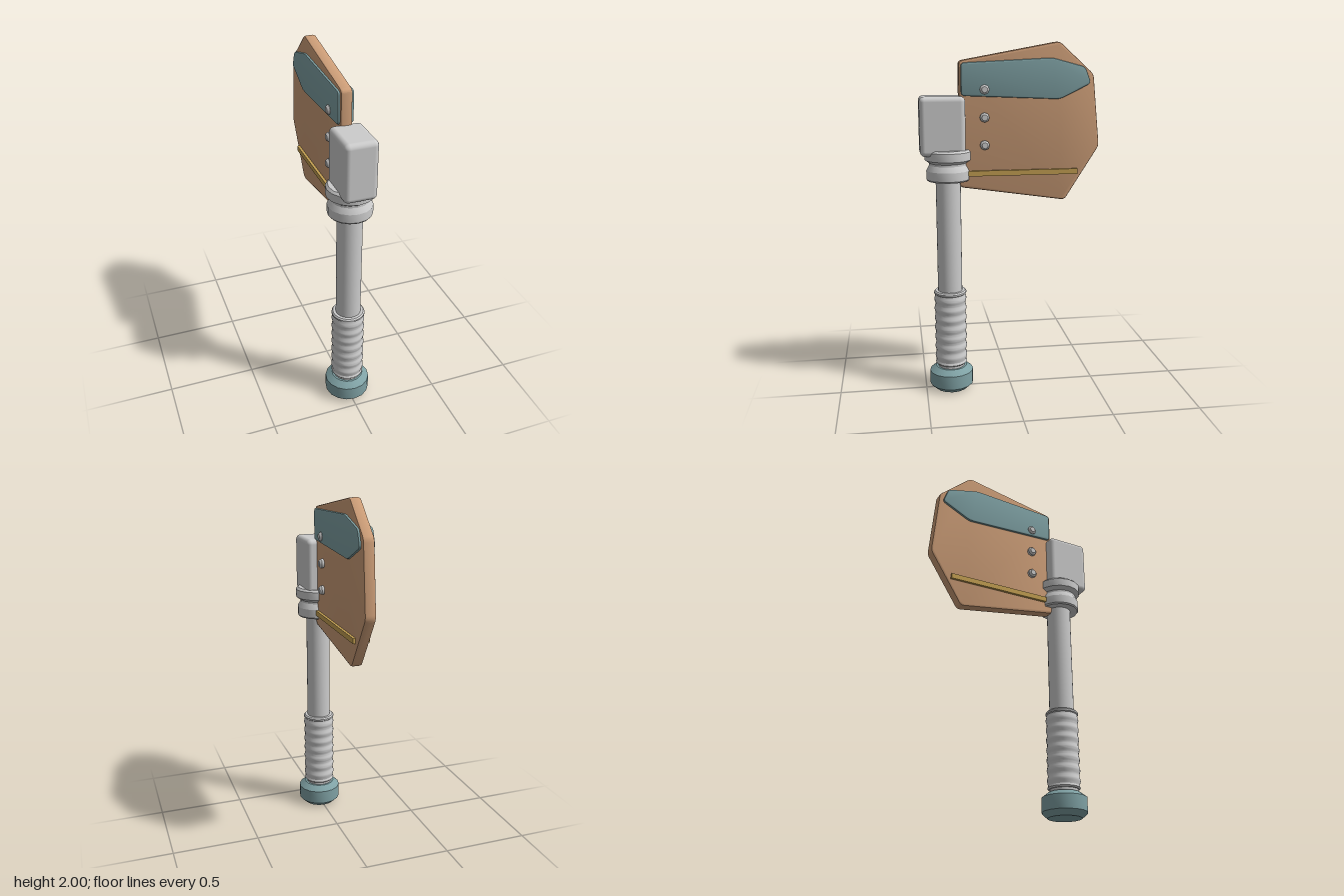
import * as THREE from 'three';
import { toCreasedNormals } from 'three/addons/utils/BufferGeometryUtils.js';
import { RoundedBoxGeometry } from 'three/addons/geometries/RoundedBoxGeometry.js';

const AXIS_Z = 0.35; // handle axis

function material(name, color) {
  const m = new THREE.MeshStandardMaterial({ color });
  m.name = name;
  return m;
}

// Outline of [z, y] corners, each corner rounded off by r
function roundedOutline(corners, r) {
  const pts = corners.map(([z, y]) => new THREE.Vector2(-z, y));
  const shape = new THREE.Shape();
  pts.forEach((p, i) => {
    const prev = pts[(i + pts.length - 1) % pts.length];
    const next = pts[(i + 1) % pts.length];
    const a = p.clone().add(prev.clone().sub(p).setLength(r));
    const b = p.clone().add(next.clone().sub(p).setLength(r));
    if (i === 0) shape.moveTo(a.x, a.y);
    else shape.lineTo(a.x, a.y);
    shape.quadraticCurveTo(p.x, p.y, b.x, b.y);
  });
  shape.closePath();
  return shape;
}

// Bevelled plate in the z-y plane, centred on x = 0
function plate(corners, thickness, bevel, r) {
  const geo = new THREE.ExtrudeGeometry(roundedOutline(corners, r), {
    depth: thickness - 2 * bevel,
    bevelThickness: bevel,
    bevelSize: bevel,
    bevelOffset: -bevel,
    bevelSegments: 2,
    curveSegments: 4,
  });
  geo.translate(0, 0, bevel - thickness / 2);
  geo.rotateY(Math.PI / 2);
  return toCreasedNormals(geo, 0.5);
}

// Turned part from [radius, y] points
function turned(points, sides) {
  const geo = new THREE.LatheGeometry(points.map(([r, y]) => new THREE.Vector2(r, y)), sides);
  return toCreasedNormals(geo, 0.45);
}

export function createModel() {
  const group = new THREE.Group();
  group.name = 'axe';
  const steel = material('light grey metal', 0xcccccc);
  const copper = material('tan blade', 0xcd9e78);
  const teal = material('muted teal', 0x7fa1a4);
  const gold = material('gold inlay', 0xc4a052);

  function add(name, geo, mat, x = 0, y = 0, z = 0) {
    const mesh = new THREE.Mesh(geo, mat);
    mesh.name = name;
    mesh.position.set(x, y, z);
    group.add(mesh);
    return mesh;
  }

  // Handle
  add('pommel', turned([[0, 0], [0.095, 0], [0.127, 0.03], [0.127, 0.11], [0.09, 0.138], [0, 0.138]], 16), teal, 0, 0, AXIS_Z);
  add('shaft', turned([[0, 0.12], [0.07, 0.12], [0.07, 1.4], [0, 1.4]], 24), steel, 0, 0, AXIS_Z);

  const grip = [[0, 0.155], [0.085, 0.155], [0.092, 0.163]];
  for (let i = 0; i <= 56; i++) {
    grip.push([0.09 - 0.003 * Math.cos((i / 56) * Math.PI * 14), 0.175 + (i / 56) * 0.405]);
  }
  grip.push([0.093, 0.585], [0.093, 0.594], [0.086, 0.602], [0, 0.602]);
  add('grip', turned(grip, 24), steel, 0, 0, AXIS_Z);
  add('gripNeck', turned([[0, 0.13], [0.078, 0.13], [0.078, 0.16], [0, 0.16]], 24), steel, 0, 0, AXIS_Z);

  // Double collar under the head
  add('collar', turned([
    [0, 1.245], [0.115, 1.245], [0.121, 1.253], [0.121, 1.302], [0.105, 1.333], [0.105, 1.345],
    [0.13, 1.362], [0.13, 1.408], [0.118, 1.42], [0, 1.42],
  ], 16), steel, 0, 0, AXIS_Z);

  // Head block
  add('headBlock', new RoundedBoxGeometry(0.18, 0.325, 0.25, 4, 0.028), steel, 0, 1.55, 0.38);

  // Blade
  add('blade', plate([
    [0.287, 1.9], [0.287, 1.207], [-0.312, 1.118], [-0.507, 1.425], [-0.468, 1.825], [-0.272, 2.003],
  ], 0.064, 0.012, 0.022), copper);

  // Fittings on both faces of the blade
  const panel = plate([
    [0.275, 1.89], [0.275, 1.713], [-0.275, 1.69], [-0.45, 1.775], [-0.417, 1.865], [-0.23, 1.915],
  ], 0.024, 0.008, 0.022);
  const boltHead = new THREE.CylinderGeometry(0.017, 0.027, 0.012, 8);
  const boltBase = new THREE.CylinderGeometry(0.027, 0.027, 0.026, 8);
  for (const [side, s] of [['left', 1], ['right', -1]]) {
    add(side + 'Panel', panel, teal, s * 0.032);
    add(side + 'Inlay', new THREE.BoxGeometry(0.022, 0.03, 0.64), gold, s * 0.036, 1.285, -0.06);
    for (const y of [1.747, 1.595, 1.442]) {
      add(side + 'BoltBase', toCreasedNormals(boltBase, 0.9), steel, s * 0.033, y, 0.147).rotation.z = -s * Math.PI / 2;
      add(side + 'BoltHead', toCreasedNormals(boltHead, 0.9), steel, s * 0.052, y, 0.147).rotation.z = -s * Math.PI / 2;
    }
  }
  return group;
}
